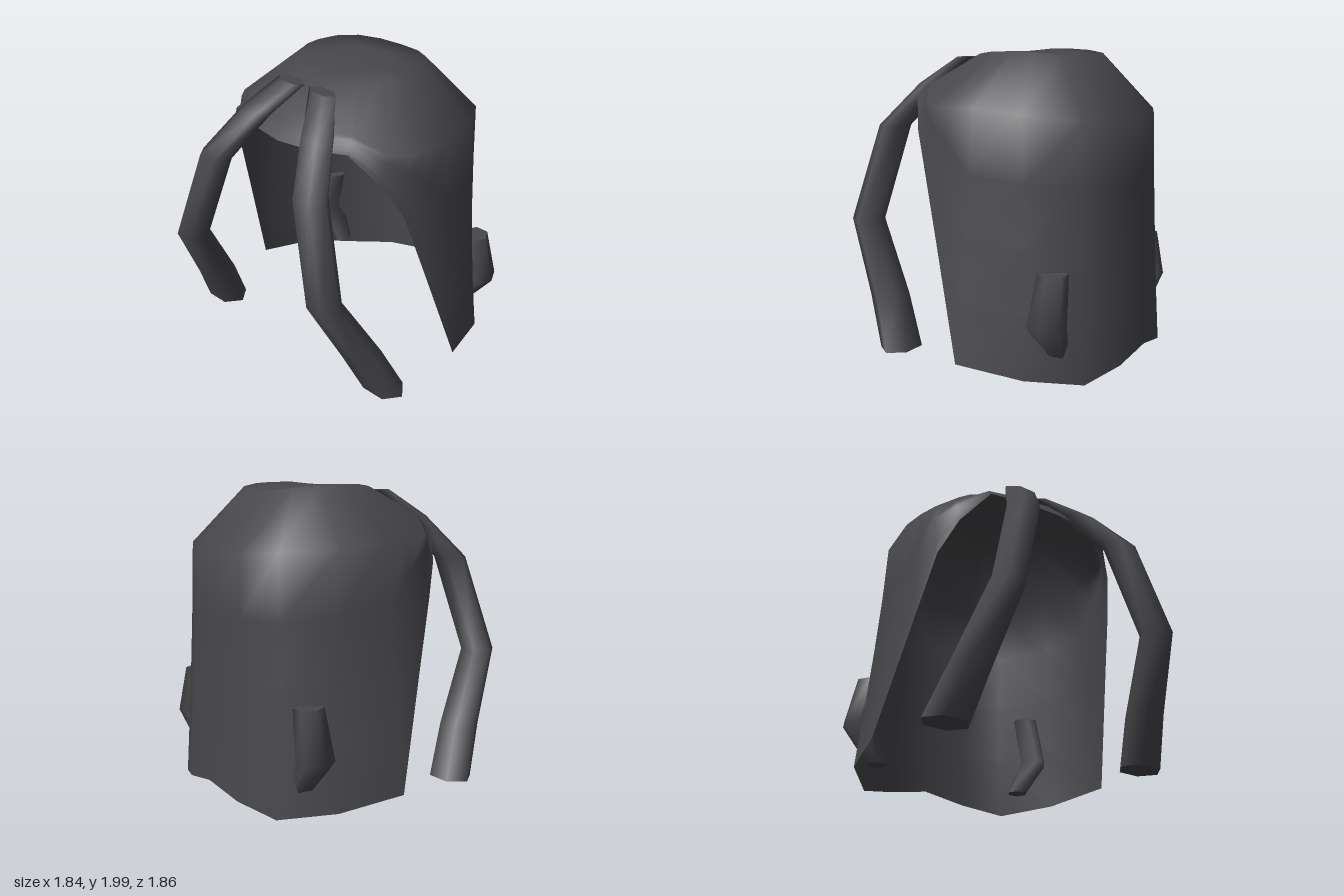
import * as THREE from 'three';
import { mergeVertices, mergeGeometries } from 'three/addons/utils/BufferGeometryUtils.js';

// Smooth surface through closed rings of [x, y, z], listed from top to bottom
function skin(rings) {
  const n = rings[0].length, index = [];
  for (let r = 0; r < rings.length - 1; r++) {
    for (let c = 0; c < n; c++) {
      const d = (c + 1) % n, a = r * n + c, b = r * n + d;
      index.push(a, a + n, b, b, a + n, b + n);
    }
  }
  let g = new THREE.BufferGeometry();
  g.setAttribute('position', new THREE.Float32BufferAttribute(rings.flat(2), 3));
  g.setIndex(index);
  g = mergeVertices(g, 1e-4);
  g.computeVertexNormals();
  return g;
}

// Six-sided lock of hair: stations are [x, y, z, half width, half depth]
function lock(stations, side) {
  const ring = ([x, y, z, w, d], k = 1) => Array.from({ length: 6 }, (_, i) => {
    const a = Math.PI / 6 + i * Math.PI / 3;
    return [side * x + k * w * Math.sin(a), y, z + k * d * Math.cos(a) / 0.866];
  });
  const first = stations[0], last = stations[stations.length - 1];
  return mergeGeometries([
    skin(stations.map(s => ring(s))),
    skin([ring(first, 0), ring(first)]),
    skin([ring(last), ring(last, 0)]),
  ]);
}

// Half of the cap from brow to nape: [rim, shoulder, crown] per column
const columns = [
  [[0, 1.67, 0.6], [0, 1.78, 0.51], [0, 1.95, 0.25]],
  [[0.25, 1.68, 0.57], [0.23, 1.78, 0.48], [0.15, 1.96, 0.22]],
  [[0.48, 1.7, 0.5], [0.44, 1.78, 0.42], [0.27, 1.97, 0.15]],
  [[0.64, 1.5, 0.38], [0.63, 1.68, 0.32], [0.35, 1.98, 0.06]],
  [[0.73, 1.28, 0.27], [0.72, 1.66, 0.21], [0.38, 1.99, -0.02]],
  [[0.8, 0.85, 0.14], [0.745, 1.66, 0.07], [0.4, 1.99, -0.08]],
  [[0.92, 0.11, -0.08], [0.75, 1.66, -0.1], [0.4, 1.99, -0.18]],
  [[0.81, 0.05, -0.5], [0.7, 1.63, -0.42], [0.37, 1.985, -0.32]],
  [[0.57, 0, -0.79], [0.52, 1.6, -0.73], [0.29, 1.97, -0.46]],
  [[0.3, 0.06, -0.9], [0.28, 1.59, -0.84], [0.16, 1.955, -0.54]],
  [[0, 0.12, -0.93], [0, 1.58, -0.87], [0, 1.95, -0.56]],
];

function capGeometry() {
  const mirrored = columns.slice(1, -1).reverse()
    .map(col => col.map(([x, y, z]) => [-x, y, z]));
  const all = [...columns, ...mirrored];
  const mix = (a, b, t, p = 1) => [0, 1, 2].map(i =>
    a[i] + (b[i] - a[i]) * (i === 1 ? t : t ** p));
  const apex = [0, 1.985, -0.15];
  const rings = [all.map(() => apex), all.map(c => mix(apex, c[2], 0.5)), all.map(c => c[2])];
  // the sides flare gently towards the rim
  for (const t of [0, 0.25, 0.5, 0.75, 1]) rings.push(all.map(c => mix(c[1], c[0], t, 1.3)));
  return skin(rings);
}

export function createModel() {
  const group = new THREE.Group();
  const hair = new THREE.MeshStandardMaterial({ color: 0x48474b, side: THREE.DoubleSide });
  hair.name = 'charcoal hair';
  const add = (name, geometry) => {
    const mesh = new THREE.Mesh(geometry, hair);
    mesh.name = name;
    group.add(mesh);
  };

  add('hairCap', capGeometry());

  // long front locks and small tufts behind, mirrored
  const front = [
    [0.13, 1.945, 0.34, 0.11, 0.045],
    [0.26, 1.77, 0.52, 0.12, 0.08],
    [0.41, 1.49, 0.745, 0.125, 0.085],
    [0.6, 0.87, 0.84, 0.12, 0.09],
    [0.69, 0.4, 0.6, 0.14, 0.105],
    [0.76, 0.08, 0.46, 0.16, 0.105],
  ];
  const tuft = [
    [0.67, 0.7, -0.62, 0.09, 0.085],
    [0.74, 0.38, -0.62, 0.1, 0.11],
    [0.58, 0.13, -0.61, 0.07, 0.06],
  ];
  for (const [label, side] of [['left', 1], ['right', -1]]) {
    add(label + 'FrontLock', lock(front, side));
    add(label + 'BackTuft', lock(tuft, side));
  }
  return group;
}
